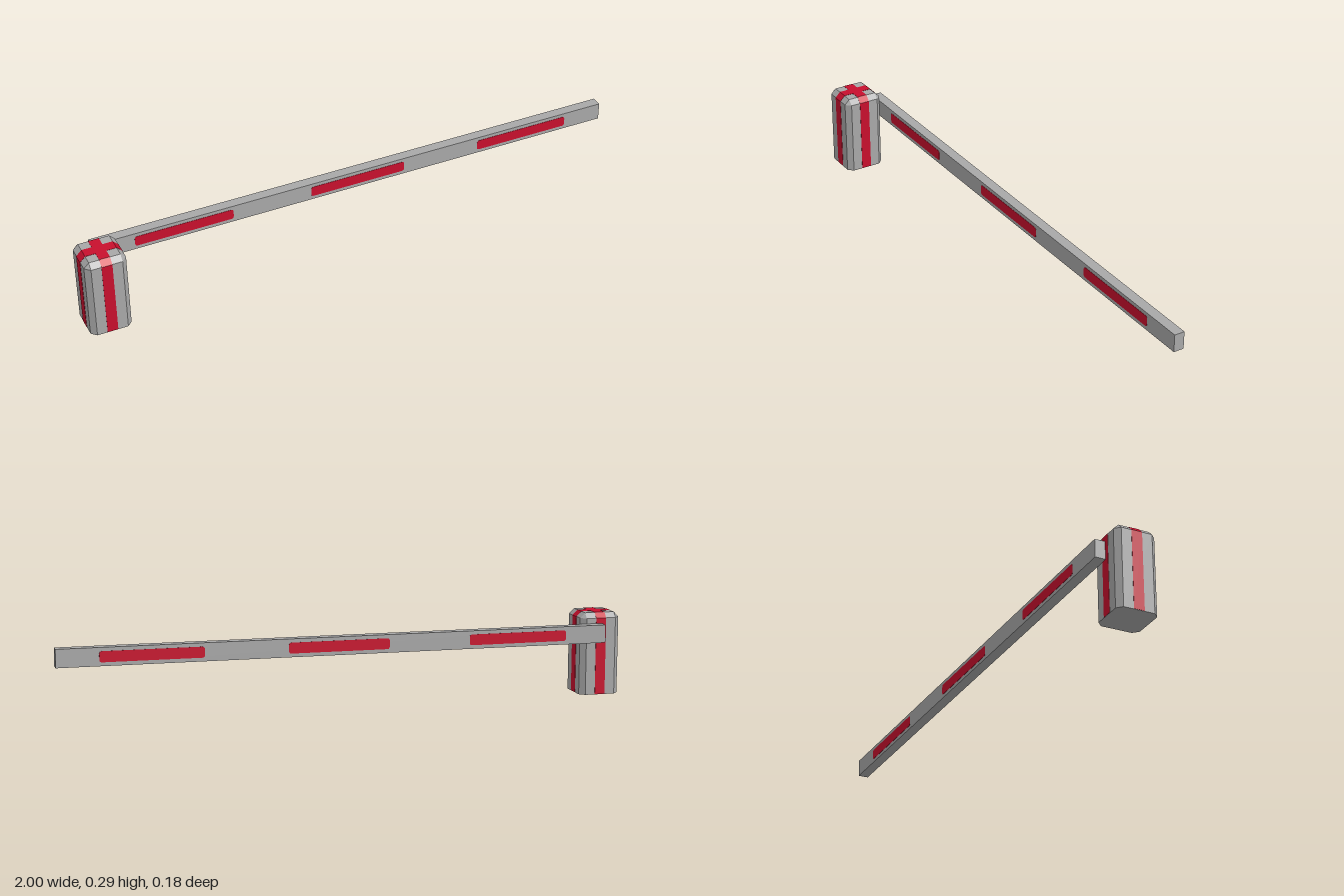
import * as THREE from 'three';
import { ConvexGeometry } from 'three/addons/geometries/ConvexGeometry.js';

const HALF = 0.072, CUT = 0.018, HEIGHT = 0.292, BAND = 0.037, LIFT = 0.001;

export function createModel() {
  const grey = new THREE.MeshStandardMaterial({ name: 'concrete grey', color: 0xa8a8a8, flatShading: true });
  const red = new THREE.MeshStandardMaterial({ name: 'warning red', color: 0xc80f2d, flatShading: true });
  const model = new THREE.Group();
  model.name = 'barrier';

  const add = (parent, name, geometry, material, x = 0, y = 0, z = 0) => {
    const mesh = new THREE.Mesh(geometry, material);
    mesh.name = name;
    mesh.position.set(x, y, z);
    parent.add(mesh);
    return mesh;
  };

  // Post: square column with chamfered corners and a bevelled top
  const post = new THREE.Group();
  post.name = 'post';
  post.position.set(-0.928, 0, 0.019);
  model.add(post);
  const inner = HALF - CUT, points = [];
  for (const sx of [-1, 1]) for (const sz of [-1, 1]) {
    for (const y of [0, HEIGHT - CUT]) {
      points.push(new THREE.Vector3(sx * HALF, y, sz * inner));
      points.push(new THREE.Vector3(sx * inner, y, sz * HALF));
    }
    points.push(new THREE.Vector3(sx * inner, HEIGHT, sz * inner));
  }
  add(post, 'postBody', new ConvexGeometry(points), grey);

  // Red bands running up each side and crossing over the top
  const w = HALF + LIFT, top = HEIGHT + LIFT;
  const outline = new THREE.Shape([
    [-w, LIFT], [w, LIFT], [w, HEIGHT - CUT], [inner, top], [-inner, top], [-w, HEIGHT - CUT],
  ].map(([x, y]) => new THREE.Vector2(x, y)));
  for (const [name, turn] of [['bandAcross', 0], ['bandFrontToBack', Math.PI / 2]]) {
    const geometry = new THREE.ExtrudeGeometry(outline, { depth: BAND, bevelEnabled: false });
    geometry.translate(0, 0, -BAND / 2).rotateY(turn);
    add(post, name, geometry, red);
  }

  // Boom arm fixed to the back of the post
  const arm = new THREE.Group();
  arm.name = 'arm';
  arm.position.set(0.035, 0.2235, -0.0715);
  model.add(arm);
  add(arm, 'armBeam', new THREE.BoxGeometry(1.93, 0.063, 0.037), grey);

  // Red markings with softened ends, showing on both faces of the arm
  const L = 0.177, H = 0.0187, r = 0.009;
  const marking = new THREE.Shape();
  marking.moveTo(-L + r, -H);
  marking.lineTo(L - r, -H);
  marking.quadraticCurveTo(L, -H, L, -H + r);
  marking.lineTo(L, H - r);
  marking.quadraticCurveTo(L, H, L - r, H);
  marking.lineTo(-L + r, H);
  marking.quadraticCurveTo(-L, H, -L, H - r);
  marking.lineTo(-L, -H + r);
  marking.quadraticCurveTo(-L, -H, -L + r, -H);
  const plate = new THREE.ExtrudeGeometry(marking, { depth: 0.002, bevelEnabled: false, curveSegments: 3 });
  plate.translate(0, 0, -0.001);
  for (const x of [-0.605, 0.037, 0.679]) {
    for (const [side, z] of [['Front', 0.0185], ['Back', -0.0185]]) {
      add(arm, 'marking' + side, plate, red, x - 0.035, 0, z);
    }
  }
  return model;
}
